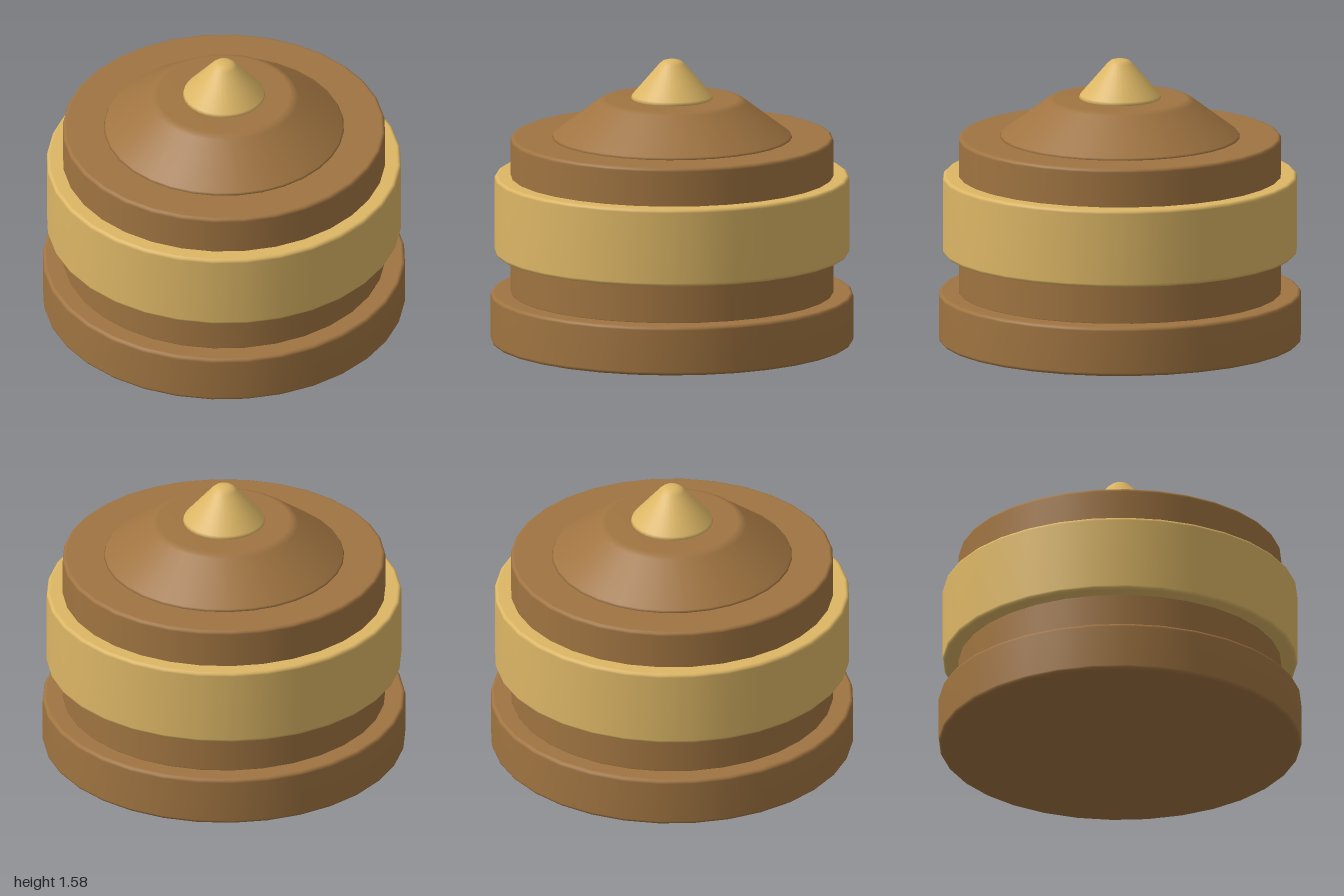
import * as THREE from 'three';

const SIDES = 32;
const material = (name, color) => {
  const m = new THREE.MeshStandardMaterial({ color });
  m.name = name;
  return m;
};

// Turned part from [radius, height] points, listed from bottom to top
function turned(name, points, mat) {
  const profile = points.map(([r, y]) => new THREE.Vector2(r, y));
  const mesh = new THREE.Mesh(new THREE.LatheGeometry(profile, SIDES), mat);
  mesh.name = name;
  return mesh;
}

// Disc with small rounded rims
function disc(name, r, y0, y1, mat, b = 0.02) {
  const points = [[0, y0]];
  for (let i = 0; i <= 3; i++) {
    const a = (i / 3) * Math.PI / 2;
    points.push([r - b + b * Math.sin(a), y0 + b - b * Math.cos(a)]);
  }
  for (let i = 0; i <= 3; i++) {
    const a = (i / 3) * Math.PI / 2;
    points.push([r - b + b * Math.cos(a), y1 - b + b * Math.sin(a)]);
  }
  points.push([0, y1]);
  return turned(name, points, mat);
}

export function createModel() {
  const brown = material('brown', 0xa07441);
  const gold = material('gold', 0xdcb665);
  const model = new THREE.Group();
  model.name = 'roundBox';

  model.add(
    disc('base', 1, 0, 0.275, brown),
    disc('drum', 0.89, 0.26, 1.145, brown),
    disc('band', 0.978, 0.495, 0.93, gold),
    // Sloping lid with a flat top
    turned('lid', [[0, 1.135], [0.65, 1.135], [0.662, 1.145], [0.655, 1.157],
      [0.41, 1.342], [0.39, 1.354], [0.365, 1.36], [0, 1.36]], brown),
    // Pointed knob with a blunt tip
    turned('knob', [[0, 1.355], [0.215, 1.355], [0.226, 1.364], [0.22, 1.38],
      [0.07, 1.555], [0.05, 1.572], [0.025, 1.579], [0, 1.58]], gold),
  );
  return model;
}
